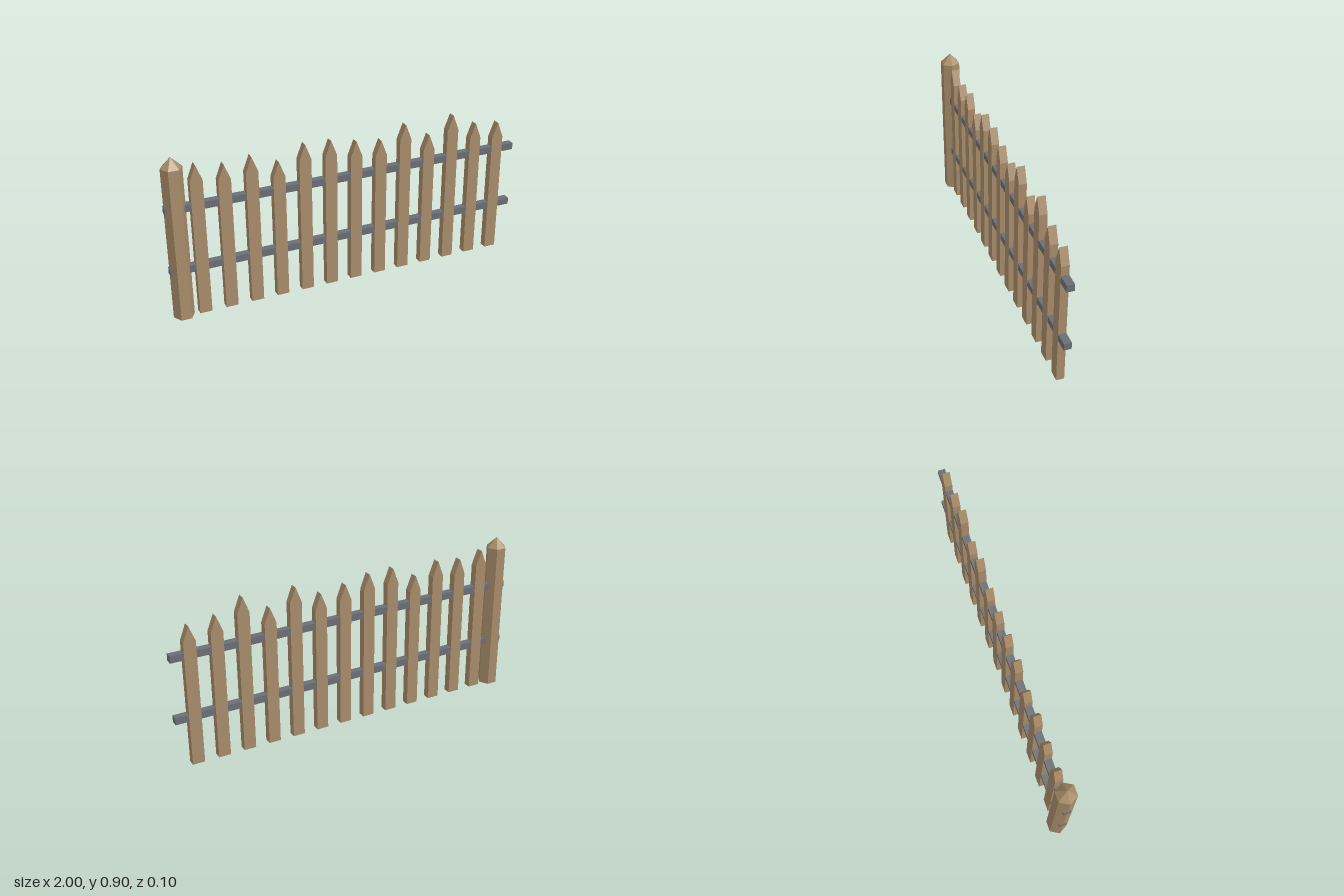
import * as THREE from 'three';

export function createModel() {
  const fence = new THREE.Group();
  fence.name = 'picketFence';
  const wood = new THREE.MeshStandardMaterial({ color: 0xa88c6a, flatShading: true });
  const metal = new THREE.MeshStandardMaterial({ color: 0x6a6f75, flatShading: true });

  const add = (name, geometry, material, x, y, z = 0) => {
    const mesh = new THREE.Mesh(geometry, material);
    mesh.name = name;
    mesh.position.set(x, y, z);
    fence.add(mesh);
    return mesh;
  };

  // Hexagonal end post with a pointed cap, corners facing left and right
  const postX = -0.944, radius = 0.056, shoulder = 0.845, postTop = 0.9;
  const shaft = new THREE.CylinderGeometry(radius, radius, shoulder, 6, 1, true);
  add('postShaft', shaft.rotateY(Math.PI / 6), wood, postX, shoulder / 2);
  const cap = new THREE.ConeGeometry(radius, postTop - shoulder, 6, 1, true);
  add('postCap', cap.rotateY(Math.PI / 6), wood, postX, (shoulder + postTop) / 2);
  const base = new THREE.CircleGeometry(radius, 6).rotateX(Math.PI / 2);
  add('postBase', base, wood, postX, 0);

  // Two rails along the whole length
  for (const [name, y] of [['lowerRail', 0.274], ['upperRail', 0.619]]) {
    add(name, new THREE.BoxGeometry(2, 0.038, 0.04), metal, 0, y);
  }

  // Pickets of uneven height with a gabled point
  const halfWidth = 0.033, depth = 0.042, point = 0.085;
  const heights = [0.845, 0.82, 0.835, 0.78, 0.85, 0.845, 0.815, 0.795, 0.86, 0.777, 0.866, 0.795, 0.776];
  heights.forEach((h, i) => {
    const outline = new THREE.Shape([
      new THREE.Vector2(-halfWidth, 0),
      new THREE.Vector2(halfWidth, 0),
      new THREE.Vector2(halfWidth, h - point),
      new THREE.Vector2(0, h),
      new THREE.Vector2(-halfWidth, h - point),
    ]);
    const geometry = new THREE.ExtrudeGeometry(outline, { depth, bevelEnabled: false });
    add('picket' + (i + 1), geometry, wood, -0.831 + i * 0.1438, 0, -depth / 2);
  });

  return fence;
}
